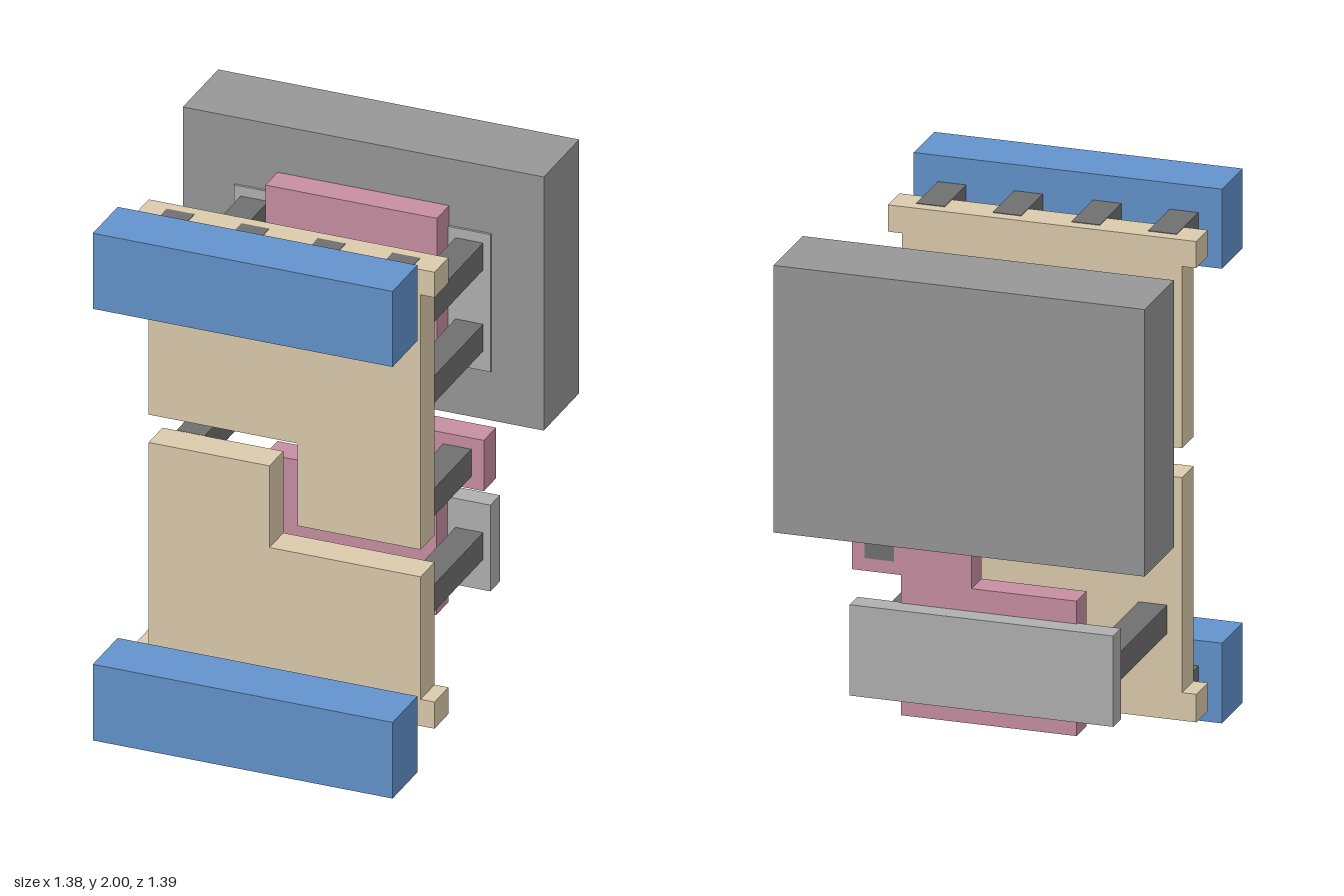
import * as THREE from 'three';

const mat = (color) => new THREE.MeshStandardMaterial({ color, flatShading: true });

export function createModel() {
  const model = new THREE.Group();
  const blue = mat(0x6393cc), tan = mat(0xdccbac), pink = mat(0xc78fa2);
  const dark = mat(0x707070), grey = mat(0x979797), light = mat(0xb0b0b0);

  // Box given by its extents on each axis
  function box(name, material, [x0, x1], [y0, y1], [z0, z1]) {
    const mesh = new THREE.Mesh(new THREE.BoxGeometry(x1 - x0, y1 - y0, z1 - z0), material);
    mesh.position.set((x0 + x1) / 2, (y0 + y1) / 2, (z0 + z1) / 2);
    mesh.name = name;
    model.add(mesh);
  }

  // Flat plate cut from an outline in the xy plane
  function plate(name, material, outline, z0, z1) {
    const shape = new THREE.Shape(outline.map(([x, y]) => new THREE.Vector2(x, y)));
    const geometry = new THREE.ExtrudeGeometry(shape, { depth: z1 - z0, bevelEnabled: false });
    const mesh = new THREE.Mesh(geometry, material);
    mesh.position.z = z0;
    mesh.name = name;
    model.add(mesh);
  }

  // Interlocking front plates, each with a wide lip at its outer end
  plate('upperFrontPlate', tan, [
    [-0.52, 1.12], [0.05, 1.12], [0.05, 0.795], [0.52, 0.795], [0.52, 1.8],
    [0.573, 1.8], [0.573, 1.9], [-0.573, 1.9], [-0.573, 1.8], [-0.52, 1.8],
  ], 0.198, 0.322);
  plate('lowerFrontPlate', tan, [
    [-0.573, 0.1], [0.573, 0.1], [0.573, 0.205], [0.52, 0.205], [0.52, 0.688],
    [-0.058, 0.688], [-0.058, 1.01], [-0.52, 1.01], [-0.52, 0.205], [-0.573, 0.205],
  ], 0.198, 0.322);

  // Rear plates, each with a side foot reaching past the other
  plate('upperRearPlate', pink, [
    [-0.51, 0.86], [-0.068, 0.86], [-0.068, 1.085], [0.328, 1.085],
    [0.328, 1.785], [-0.328, 1.785], [-0.328, 1.06], [-0.51, 1.06],
  ], -0.381, -0.273);
  plate('lowerRearPlate', pink, [
    [-0.328, 0.22], [0.325, 0.22], [0.325, 0.745], [0.507, 0.745],
    [0.507, 0.945], [0.063, 0.945], [0.063, 0.725], [-0.328, 0.725],
  ], -0.381, -0.273);

  // Front bars and the four pegs holding each of them
  for (const [level, bar, peg] of [
    ['upper', [1.702, 2], [1.8, 1.902]],
    ['lower', [0, 0.3], [0.098, 0.205]],
  ]) {
    box(`${level}FrontBar`, blue, [-0.573, 0.573], bar, [0.475, 0.697]);
    for (const x of [-0.432, -0.146, 0.146, 0.431])
      box(`${level}BarPeg`, dark, [x - 0.053, x + 0.053], peg, [0.243, 0.475]);
  }

  // Struts from the front plates to the back parts
  for (const y of [1.615, 1.295, 0.473])
    for (const x of [-0.412, 0.409])
      box('strut', dark, [x - 0.053, x + 0.053], [y - 0.053, y + 0.053], [-0.374, 0.198]);
  for (const [x, y] of [[-0.412, 0.957], [0.405, 0.847]])
    box('footStrut', dark, [x - 0.054, x + 0.054], [y - 0.054, y + 0.054], [-0.383, 0.198]);

  // Back block with a thin panel on its face, and the smaller lower panel
  box('backBlock', grey, [-0.69, 0.69], [0.97, 1.97], [-0.697, -0.381]);
  box('blockPanel', light, [-0.49, 0.49], [1.165, 1.707], [-0.39, -0.372]);
  box('lowerBackPanel', light, [-0.49, 0.49], [0.3, 0.64], [-0.456, -0.372]);

  return model;
}
